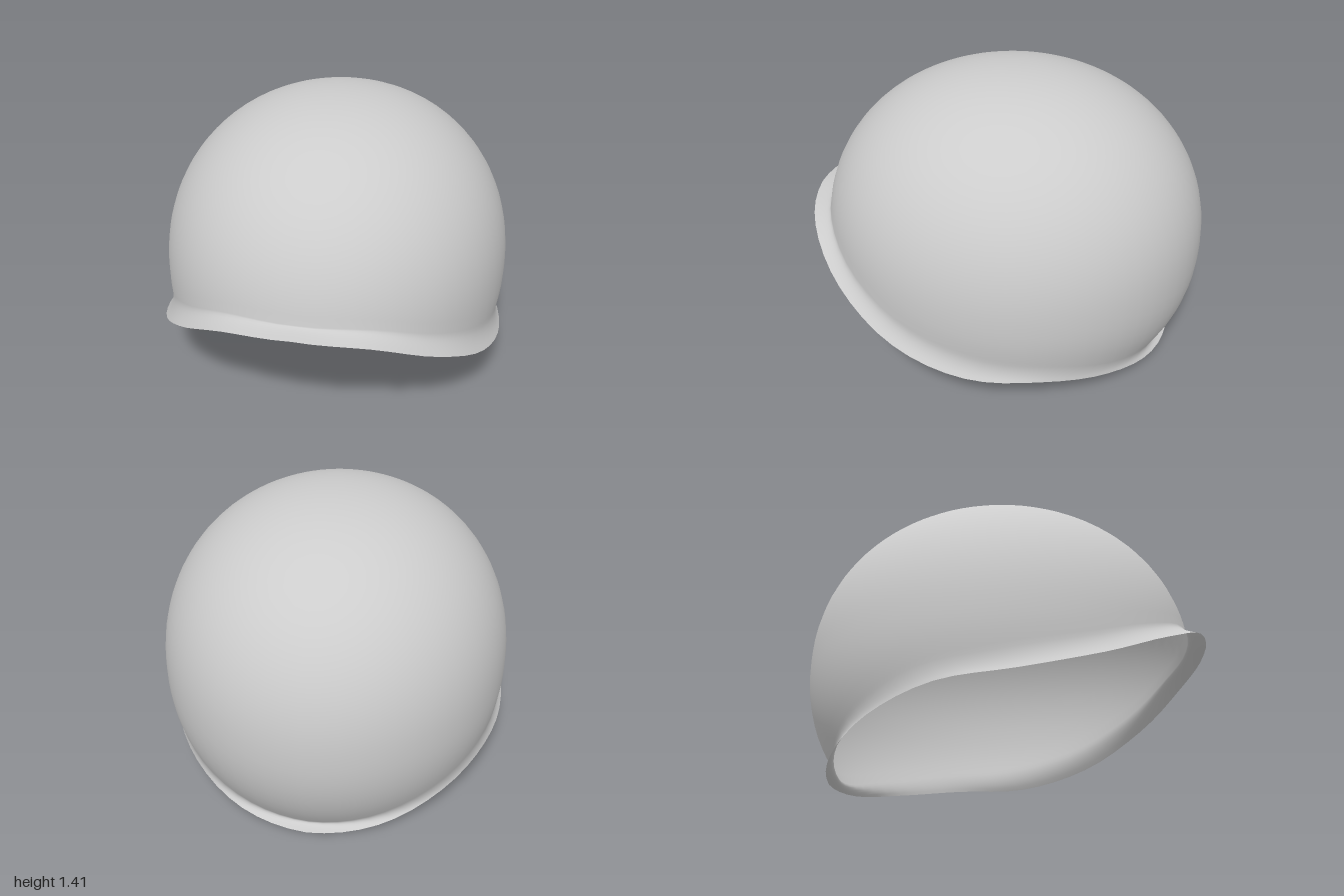
import * as THREE from 'three';

const AROUND = 64, DOME_ROWS = 28, FLARE_ROWS = 6;
const POWER = 2 / 2.15; // slightly squarer than an ellipsoid

// Evenly spaced values from the front (t = 0) to the back (t = 1)
function track(values) {
  const curve = new THREE.SplineCurve(values.map((v, i) => new THREE.Vector2(i, v)));
  return t => curve.getPoint(t).y;
}
const rimHeight = track([0.68, 0.635, 0.485, 0.325, 0.23, 0.2, 0.125, 0.04, 0.003]);
const flareDepth = track([0.02, 0.07, 0.12, 0.07, 0.03]);

// Angle down the dome for a given height
function domeAngle(y) {
  const h = (y - 0.55) / 0.86;
  return Math.asin(Math.sign(h) * Math.abs(h) ** (1 / POWER));
}

// Point on the dome at a heading and an angle above its widest ring
function domePoint(phi, angle) {
  const s = Math.sin(angle);
  const r = Math.max(Math.cos(angle), 0) ** POWER;
  return new THREE.Vector3(
    0.87 * r * Math.sin(phi),
    0.55 + 0.86 * Math.sign(s) * Math.abs(s) ** POWER,
    -0.04 + 0.96 * r * Math.cos(phi));
}

// One rib from the crown to the flared rim
function rib(phi) {
  const t = Math.min(phi, 2 * Math.PI - phi) / Math.PI;
  const y = rimHeight(t), depth = flareDepth(t);
  const low = domeAngle(y + depth);
  const points = [];
  for (let j = 0; j <= DOME_ROWS; j++) {
    points.push(domePoint(phi, THREE.MathUtils.lerp(Math.PI / 2, low, j / DOME_ROWS)));
  }
  const rim = new THREE.Vector3(0.875 * Math.sin(phi), y, 0.06 + 0.94 * Math.cos(phi));
  const flare = new THREE.QuadraticBezierCurve3(
    points[DOME_ROWS], domePoint(phi, domeAngle(y + depth * 0.35)), rim);
  points.push(...flare.getPoints(FLARE_ROWS).slice(1));
  return points;
}

function shellGeometry() {
  const positions = [], index = [];
  const rows = DOME_ROWS + FLARE_ROWS + 1;
  for (let i = 0; i < AROUND; i++) {
    for (const p of rib(i / AROUND * 2 * Math.PI)) positions.push(p.x, p.y, p.z);
    const here = i * rows, next = ((i + 1) % AROUND) * rows;
    for (let j = 0; j < rows - 1; j++) {
      index.push(here + j, here + j + 1, next + j + 1);
      if (j > 0) index.push(here + j, next + j + 1, next + j);
    }
  }
  const geometry = new THREE.BufferGeometry();
  geometry.setAttribute('position', new THREE.Float32BufferAttribute(positions, 3));
  geometry.setIndex(index);
  geometry.computeVertexNormals();
  // All ribs share one upright normal at the crown
  for (let i = 0; i < AROUND; i++) geometry.attributes.normal.setXYZ(i * rows, 0, 1, 0);
  return geometry;
}

export function createModel() {
  const group = new THREE.Group();
  group.name = 'cap';
  const lightGrey = new THREE.MeshStandardMaterial({ color: 0xcccccc, side: THREE.DoubleSide });
  lightGrey.name = 'light grey';
  // Open dome with its flared rim, smooth as one surface
  const shell = new THREE.Mesh(shellGeometry(), lightGrey);
  shell.name = 'shellWithFlaredRim';
  group.add(shell);
  return group;
}
